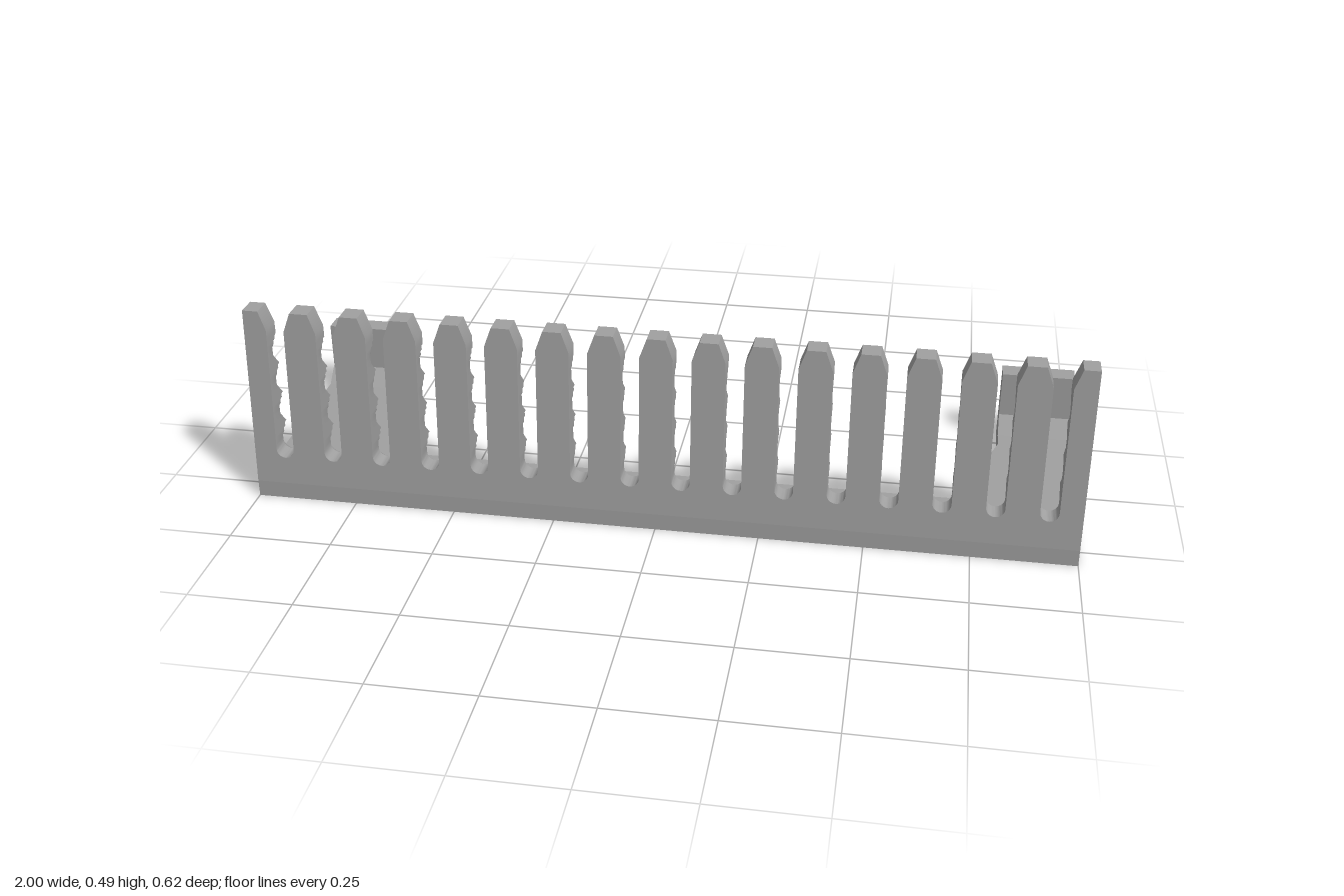
import * as THREE from 'three';
import { toCreasedNormals } from 'three/addons/utils/BufferGeometryUtils.js';

const PITCH = 0.123, SLOT = 0.022, DIMPLE = 0.042;
const SLOT_Y = 0.133, STEP = 0.08, BACK = 0.226, DEPTH = 0.03;
const BASE = 0.042, TOP = 0.492;

// Half the slot width at a height, where the cone dimples have radius r
function slotHalfWidth(y, r) {
  let w = SLOT;
  for (let i = 0; i < 4; i++) {
    const dy = y - (SLOT_Y + i * STEP);
    if (Math.abs(dy) < r) w = Math.max(w, Math.sqrt(r * r - dy * dy));
  }
  return w;
}

// Counter-clockwise comb outline; every radius gives the same point count
function combOutline(r) {
  const side = [[0.0395, TOP], [SLOT, 0.444]];
  for (let i = 29; i >= 0; i--) {
    const y = SLOT_Y + i * 0.01;
    side.push([slotHalfWidth(y, r), y]);
  }
  for (let i = 1; i <= 6; i++) {
    const a = (i / 6) * Math.PI / 2;
    side.push([r * Math.cos(a), SLOT_Y - r * Math.sin(a)]);
  }
  const pts = [[-1, BASE], [1, BASE], [1, TOP]];
  for (let s = 7.5; s >= -7.5; s--) {
    side.forEach(([x, y]) => pts.push([s * PITCH + x, y]));
    side.slice(0, -1).reverse().forEach(([x, y]) => pts.push([s * PITCH - x, y]));
  }
  pts.push([-1, TOP]);
  return pts.map(([x, y]) => new THREE.Vector2(x, y));
}

// Comb wall: layers from the dimpled back to the sloping front
function combGeometry() {
  const layers = [];
  for (let k = 0; k <= 3; k++) {
    const t = k / 3;
    layers.push(combOutline(DIMPLE + (SLOT - DIMPLE) * t)
      .map(p => new THREE.Vector3(p.x, p.y, BACK + DEPTH * t)));
  }
  layers.push(combOutline(SLOT).map(p =>
    new THREE.Vector3(p.x, p.y, 0.31 - 0.033 * (p.y - BASE) / (TOP - BASE))));
  const n = layers[0].length, pos = [];
  const tri = (...v) => v.forEach(p => pos.push(p.x, p.y, p.z));
  for (let k = 0; k < layers.length - 1; k++) {
    const a = layers[k], b = layers[k + 1];
    for (let i = 0; i < n; i++) {
      const j = (i + 1) % n;
      tri(a[i], a[j], b[j]);
      tri(a[i], b[j], b[i]);
    }
  }
  const cap = (layer, flip) => {
    const flat = layer.map(p => new THREE.Vector2(p.x, p.y));
    for (const [a, b, c] of THREE.ShapeUtils.triangulateShape(flat, [])) {
      if (flip) tri(layer[a], layer[c], layer[b]);
      else tri(layer[a], layer[b], layer[c]);
    }
  };
  cap(layers[0], true);
  cap(layers[layers.length - 1], false);
  const geo = new THREE.BufferGeometry();
  geo.setAttribute('position', new THREE.Float32BufferAttribute(pos, 3));
  return toCreasedNormals(geo, 0.5);
}

const shapeOf = pts => new THREE.Shape(pts.map(([x, y]) => new THREE.Vector2(x, y)));
const extrude = (pts, depth) =>
  new THREE.ExtrudeGeometry(shapeOf(pts), { depth, bevelEnabled: false });

// Side profile of [z, y] points run along x
const alongX = (pts, x0, x1) =>
  extrude(pts, x1 - x0).rotateY(-Math.PI / 2).translate(x1, 0, 0);

export function createModel() {
  const group = new THREE.Group();
  const grey = new THREE.MeshStandardMaterial({ color: 0xa0a0a0 });
  grey.name = 'plainGrey';
  const add = (name, geo) => {
    const mesh = new THREE.Mesh(geo, grey);
    mesh.name = name;
    group.add(mesh);
  };

  // Flat base with two tapering rear arms, drawn in [x, z]
  const half = [[1, 0.31], [1, -0.31], [0.817, -0.31], [0.817, -0.17], [0.71, 0.12]];
  const plan = [...half, ...half.map(([x, z]) => [-x, z]).reverse()];
  add('basePlate', extrude(plan.map(([x, z]) => [x, -z]), BASE).rotateX(-Math.PI / 2));

  // Toothed wall and the sloped strip behind its foot
  add('combWall', combGeometry());
  add('wallFillet', alongX([[0.185, BASE], [BACK, BASE], [BACK, 0.083]], -1, 1));

  // Rear upright stops with sloped feet
  const stop = [[-0.31, BASE], [-0.217, BASE], [-0.258, 0.083], [-0.258, 0.2], [-0.31, 0.2]];
  add('leftStop', alongX(stop, 0.817, 1));
  add('rightStop', alongX(stop, -1, -0.817));
  return group;
}
